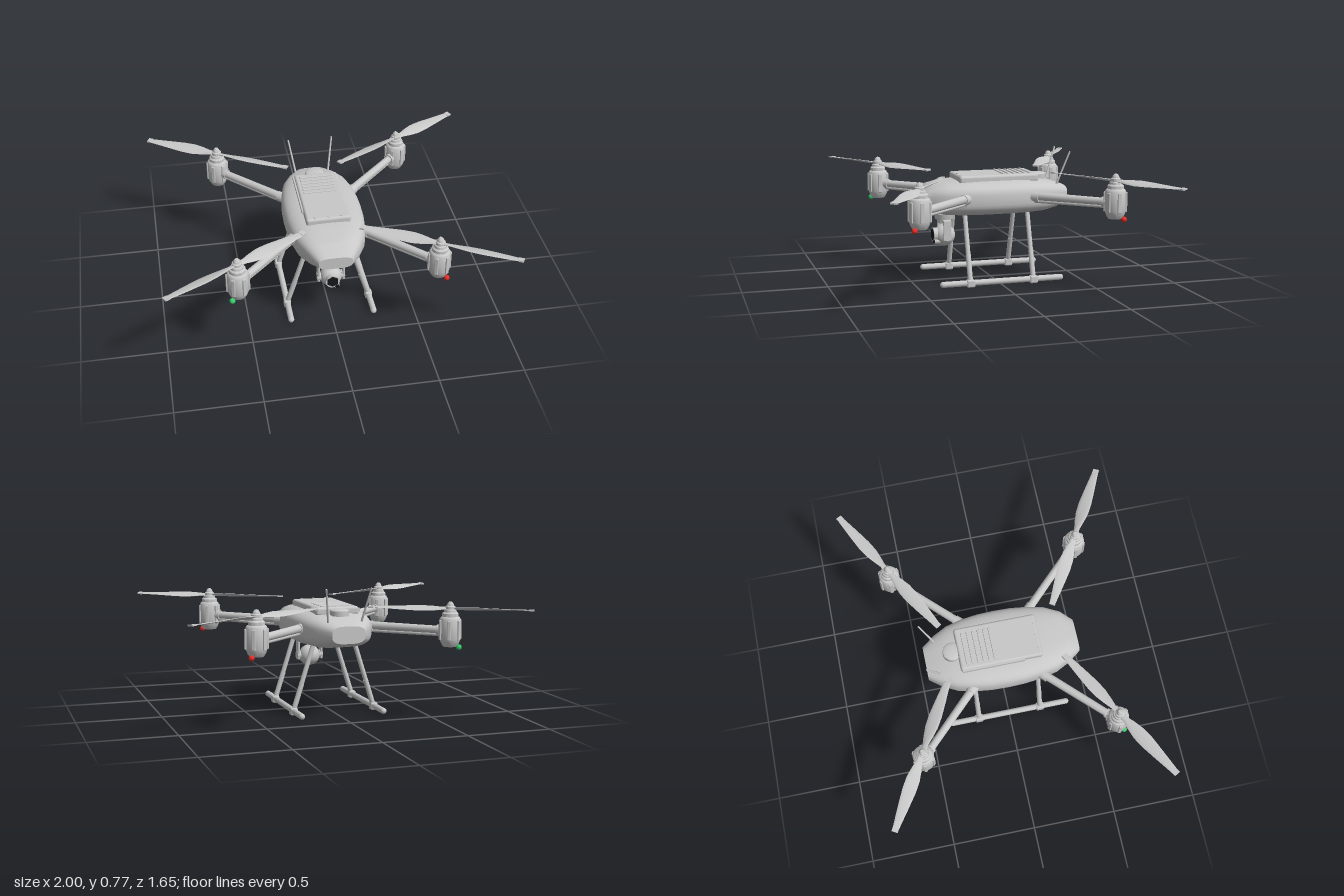
import * as THREE from 'three';
import { toCreasedNormals } from 'three/addons/utils/BufferGeometryUtils.js';
import { RoundedBoxGeometry } from 'three/addons/geometries/RoundedBoxGeometry.js';

const paint = (name, color) => Object.assign(new THREE.MeshStandardMaterial({ color }), { name });
const V = (x, y, z) => new THREE.Vector3(x, y, z);

// Closed skin over rings of points that run along +z, with flat end caps
function loft(rings, crease = 0.6) {
  const n = rings[0].length, pos = [], idx = [];
  rings.forEach(r => r.forEach(p => pos.push(p.x, p.y, p.z)));
  for (let i = 0; i < rings.length - 1; i++) for (let j = 0; j < n; j++) {
    const a = i * n + j, b = i * n + (j + 1) % n;
    idx.push(a, b, b + n, a, b + n, a + n);
  }
  const last = (rings.length - 1) * n;
  for (let j = 1; j < n - 1; j++) idx.push(0, j + 1, j, last, last + j, last + j + 1);
  const g = new THREE.BufferGeometry();
  g.setAttribute('position', new THREE.Float32BufferAttribute(pos, 3));
  g.setIndex(idx);
  return toCreasedNormals(g, crease);
}

// Rounded-rectangle ring (superellipse)
function bodyRing(z, w, y0, y1, n = 48, power = 0.62) {
  const pw = v => Math.sign(v) * Math.abs(v) ** power;
  return Array.from({ length: n }, (_, j) => {
    const t = (j / n) * Math.PI * 2;
    return V(w * pw(Math.cos(t)), (y0 + y1) / 2 + (y1 - y0) / 2 * pw(Math.sin(t)), z);
  });
}

// Flat oval blade section, pitched about the span
function bladeRing(z, chord, thick, pitch, n = 12) {
  return Array.from({ length: n }, (_, j) => {
    const t = (j / n) * Math.PI * 2, x = chord / 2 * Math.cos(t), y = thick / 2 * Math.sin(t);
    return V(x * Math.cos(pitch) - y * Math.sin(pitch), x * Math.sin(pitch) + y * Math.cos(pitch), z);
  });
}

function bladeGeometry(sign) {
  const rows = [[0.0, 0.034, 0.014, 0.3], [0.05, 0.036, 0.013, 0.34], [0.1, 0.06, 0.011, 0.34], [0.16, 0.08, 0.01, 0.3],
    [0.23, 0.08, 0.009, 0.24], [0.32, 0.064, 0.008, 0.18], [0.4, 0.048, 0.007, 0.13], [0.46, 0.036, 0.006, 0.1]];
  return loft(rows.map(([z, c, t, p]) => bladeRing(z, c, t, p * sign)));
}

export function createModel() {
  const root = new THREE.Group();
  root.name = 'quadcopter';
  const grey = paint('shell grey', 0xc8c8c8);
  const dark = paint('lens black', 0x14171c);
  const red = paint('port light red', 0xf03028);
  const green = paint('starboard light green', 0x38cc6c);

  const add = (name, geo, mat = grey, x = 0, y = 0, z = 0, parent = root) => {
    const m = new THREE.Mesh(geo, mat);
    m.name = name;
    m.position.set(x, y, z);
    parent.add(m);
    return m;
  };
  const cyl = (r1, r2, h, n = 24) => new THREE.CylinderGeometry(r1, r2, h, n);
  const rod = (name, a, b, r1, r2 = r1) => {
    const d = b.clone().sub(a);
    const m = add(name, cyl(r2, r1, d.length(), 16));
    m.position.copy(a).addScaledVector(d, 0.5);
    m.quaternion.setFromUnitVectors(V(0, 1, 0), d.normalize());
  };
  const ball = r => new THREE.SphereGeometry(r, 28, 18);

  // Fuselage
  const stations = [[-0.46, 0.1, 0.453, 0.555], [-0.385, 0.155, 0.425, 0.582], [-0.3, 0.198, 0.41, 0.602],
    [-0.2, 0.222, 0.406, 0.612], [-0.1, 0.234, 0.404, 0.615], [0, 0.237, 0.404, 0.615], [0.1, 0.234, 0.404, 0.615],
    [0.2, 0.222, 0.405, 0.613], [0.3, 0.2, 0.41, 0.605], [0.39, 0.155, 0.43, 0.588], [0.46, 0.1, 0.455, 0.53]];
  add('fuselage', loft(stations.map(s => bodyRing(...s)), 0.5));

  // Battery hatch with louvres, screws and a side latch
  add('batteryHatch', new RoundedBoxGeometry(0.265, 0.05, 0.49, 4, 0.016), grey, 0, 0.619, -0.02);
  for (let i = 0; i < 6; i++) {
    add('ventLouvre', new RoundedBoxGeometry(0.2, 0.01, 0.016, 2, 0.004), grey, -0.005, 0.645, -0.22 + i * 0.033);
  }
  [-0.08, 0, 0.075].forEach(x => add('hatchScrew', cyl(0.007, 0.007, 0.006, 12), grey, x, 0.645, 0.208));
  add('hatchLatch', new THREE.BoxGeometry(0.01, 0.02, 0.37), grey, -0.136, 0.622, -0.07);

  // Positioning dome behind the hatch
  add('domeBase', cyl(0.056, 0.056, 0.03, 32), grey, 0, 0.612, -0.295);
  const dome = add('dome', new THREE.SphereGeometry(0.056, 28, 8, 0, Math.PI * 2, 0, Math.PI / 2), grey, 0, 0.626, -0.295);
  dome.scale.y = 0.22;

  // Motor pod profile and propeller parts
  const podProfile = [[0, 0.428], [0.04, 0.43], [0.05, 0.445], [0.056, 0.46], [0.061, 0.475], [0.061, 0.588], [0.054, 0.6],
    [0.047, 0.604], [0.047, 0.622], [0.037, 0.63], [0.035, 0.642], [0.028, 0.646], [0.028, 0.662], [0.021, 0.667],
    [0.018, 0.678], [0.01, 0.688], [0, 0.69]].map(p => new THREE.Vector2(...p));
  const pod = toCreasedNormals(new THREE.LatheGeometry(podProfile, 32), 0.6);
  const blades = { 1: bladeGeometry(1), '-1': bladeGeometry(-1) };

  for (const sx of [-1, 1]) for (const sz of [-1, 1]) {
    const m = 0.576;
    // Arm with cable conduit and clamps
    rod('arm', V(sx * 0.19, 0.521, sz * 0.19), V(sx * m, 0.523, sz * m), 0.025, 0.022);
    rod('armConduit', V(sx * 0.19, 0.491, sz * 0.19), V(sx * m, 0.496, sz * m), 0.011);
    rod('armRootClamp', V(sx * 0.2, 0.518, sz * 0.2), V(sx * 0.235, 0.518, sz * 0.235), 0.031);
    rod('armTipClamp', V(sx * 0.52, 0.522, sz * 0.52), V(sx * 0.54, 0.522, sz * 0.54), 0.03);

    // Motor pod with cooling fins
    const motor = new THREE.Group();
    motor.name = 'motorPod';
    motor.position.set(sx * m, 0, sz * m);
    root.add(motor);
    add('motorShell', pod, grey, 0, 0, 0, motor);
    for (let i = 0; i < 6; i++) {
      const a = (i + 0.5) * Math.PI / 3;
      const fin = add('motorFin', new RoundedBoxGeometry(0.022, 0.115, 0.018, 2, 0.004), grey,
        0.059 * Math.sin(a), 0.527, 0.059 * Math.cos(a), motor);
      fin.rotation.y = a;
    }
    add('navigationLight', ball(0.0165), sx > 0 ? red : green, sx * 0.039, 0.428, sz * 0.039, motor);

    // Two-blade propeller
    const prop = new THREE.Group();
    prop.name = 'propeller';
    prop.position.y = 0.649;
    prop.rotation.y = Math.atan2(sx * 0.87, sz * 0.49);
    motor.add(prop);
    const sign = -sx * sz;
    for (const turn of [0, Math.PI]) {
      const blade = new THREE.Group();
      blade.name = 'blade';
      blade.rotation.y = turn;
      prop.add(blade);
      add('bladeSkin', blades[sign], grey, 0, 0, 0, blade);
      const tip = add('bladeTip', new THREE.BoxGeometry(0.036, 0.009, 0.03), grey, 0, 0, 0.461, blade);
      tip.rotation.z = 0.1 * sign;
    }
  }

  for (const s of [-1, 1]) {
    // Landing gear
    const skid = add('skid', new THREE.CapsuleGeometry(0.018, 0.728, 6, 16), grey, s * 0.252, 0.027, 0);
    skid.rotation.x = Math.PI / 2;
    for (const z of [-0.193, 0.197]) {
      const foot = V(s * 0.252, 0.027, z);
      rod('leg', V(s * 0.125, 0.43, z), foot, 0.014);
      rod('legSocket', V(s * 0.2, 0.19, z), foot, 0.0155);
      add('skidCollar', new RoundedBoxGeometry(0.044, 0.046, 0.05, 3, 0.01), grey, s * 0.252, 0.025, z);
    }
    // Antenna
    rod('antenna', V(s * 0.1, 0.56, -0.385), V(s * 0.136, 0.771, -0.461), 0.0065, 0.005);
    // Gimbal fork
    add('gimbalFork', new RoundedBoxGeometry(0.014, 0.125, 0.05, 2, 0.006), grey, s * 0.075, 0.312, 0.29);
    const pivot = add('gimbalPivot', cyl(0.027, 0.027, 0.022), grey, s * 0.072, 0.278, 0.29);
    pivot.rotation.z = Math.PI / 2;
  }

  // Camera gimbal
  add('gimbalMount', cyl(0.062, 0.055, 0.035, 32), grey, 0, 0.392, 0.29);
  add('gimbalNeck', cyl(0.04, 0.04, 0.04), grey, 0, 0.37, 0.29);
  add('gimbalBridge', new RoundedBoxGeometry(0.164, 0.018, 0.05, 2, 0.006), grey, 0, 0.366, 0.29);
  add('cameraBall', ball(0.065), grey, 0, 0.276, 0.29);
  const facing = (name, geo, mat, x, y, z) => { add(name, geo, mat, x, y, z).rotation.x = Math.PI / 2; };
  facing('lensBarrel', cyl(0.042, 0.042, 0.04, 28), grey, 0, 0.28, 0.342);
  facing('lensGlass', cyl(0.036, 0.036, 0.006, 6), dark, 0, 0.282, 0.362);
  facing('sensorBarrel', cyl(0.016, 0.016, 0.034, 16), grey, 0.027, 0.243, 0.342);
  facing('sensorGlass', cyl(0.013, 0.013, 0.005, 16), dark, 0.027, 0.243, 0.36);

  return root;
}
